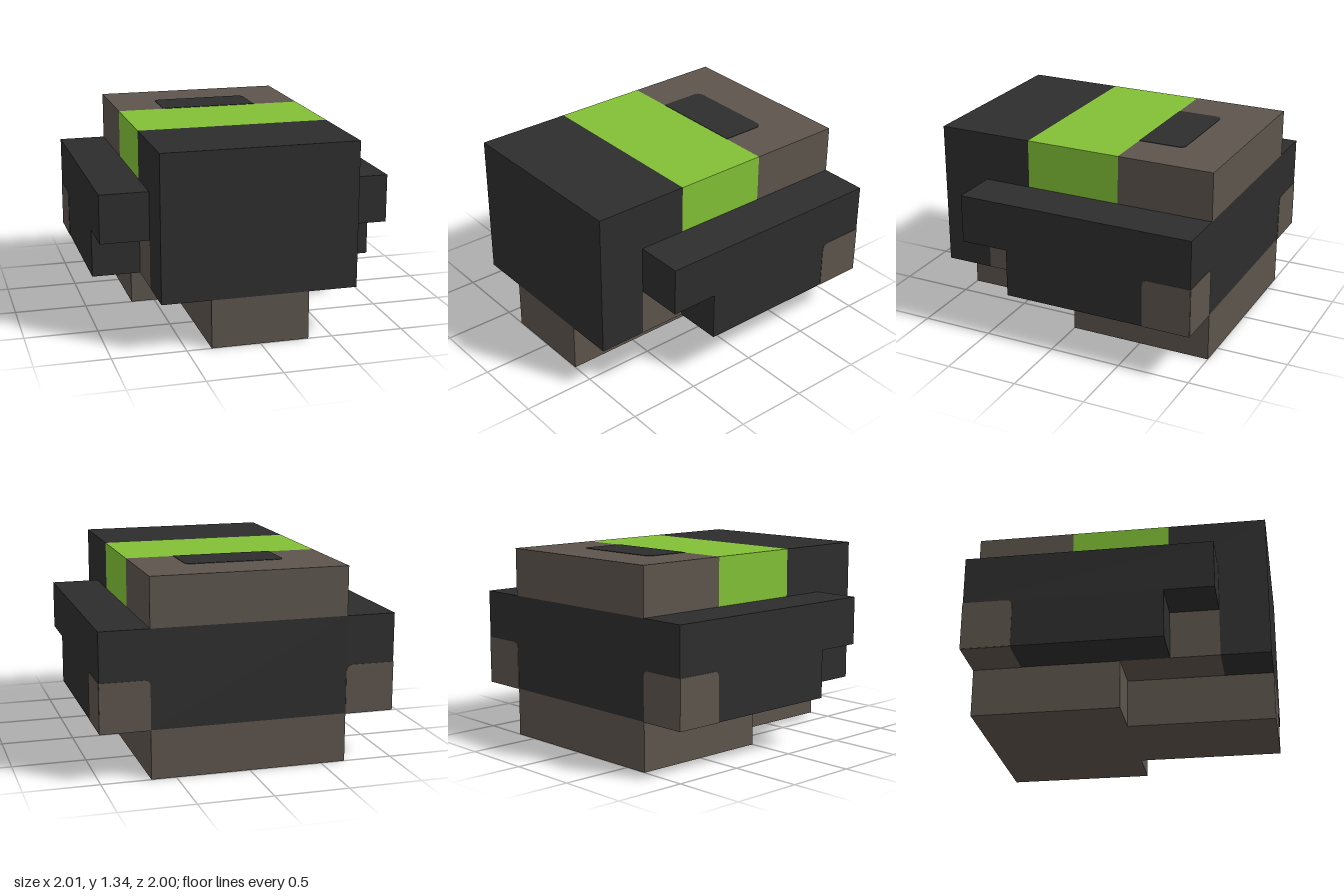
import * as THREE from 'three';

const U = 1 / 3; // module size of the blocky grid
const T = 0.003; // thickness of painted plates

function material(name, color) {
  const m = new THREE.MeshStandardMaterial({ color });
  m.name = name;
  return m;
}

// Flat plate: base on local y = 0, centred in x, rounded top corners
function plateGeometry(w, h, rLeft, rRight) {
  const s = new THREE.Shape();
  s.moveTo(-w / 2, 0);
  s.lineTo(w / 2, 0);
  s.lineTo(w / 2, h - rRight);
  if (rRight) s.quadraticCurveTo(w / 2, h, w / 2 - rRight, h);
  s.lineTo(-w / 2 + rLeft, h);
  if (rLeft) s.quadraticCurveTo(-w / 2, h, -w / 2, h - rLeft);
  s.closePath();
  return new THREE.ExtrudeGeometry(s, { depth: T, bevelEnabled: false, curveSegments: 6 });
}

export function createModel() {
  const model = new THREE.Group();
  model.name = 'blockyBody';
  const dark = material('charcoal', 0x2d2d2d);
  const taupe = material('taupe', 0x5c544c);
  const green = material('green', 0x82c035);

  // Box from min and max corners, in grid modules
  const block = (name, mat, x0, x1, y0, y1, z0, z1) => {
    const mesh = new THREE.Mesh(new THREE.BoxGeometry((x1 - x0) * U, (y1 - y0) * U, (z1 - z0) * U), mat);
    mesh.position.set((x0 + x1) / 2 * U, (y0 + y1) / 2 * U, (z0 + z1) / 2 * U);
    mesh.name = name;
    model.add(mesh);
  };
  const plate = (name, mat, geometry, pos, rx, ry) => {
    const mesh = new THREE.Mesh(geometry, mat);
    mesh.position.set(...pos);
    mesh.rotation.set(rx, ry, 0);
    mesh.name = name;
    model.add(mesh);
  };

  // Base: wide at the back, narrow at the front
  block('baseBack', taupe, -2, 2, 0, 1, -3, 0);
  block('baseFront', taupe, -1, 1, 0, 1, 0, 3);

  // Core with its dark front and back panels
  block('core', taupe, -2, 2, 1, 3, -2, 2);
  block('frontPanel', dark, -2, 2, 1, 3, 2, 3);
  block('backPanel', dark, -2, 2, 1, 3, -3, -2);

  // Top deck in three bands
  block('deckFront', dark, -2, 2, 3, 4, 1, 3);
  block('deckBand', green, -2, 2, 3, 4, -1, 1);
  block('deckBack', taupe, -2, 2, 3, 4, -3, -1);
  plate('deckPatch', dark, plateGeometry(0.68, 0.325, 0.05, 0.05), [0, 4 * U, -U], -Math.PI / 2, 0);

  // Stepped side blocks with taupe rear lower corners
  for (const s of [-1, 1]) {
    const x0 = s > 0 ? 2 : -3;
    const side = s > 0 ? 'left' : 'right';
    const r = 0.045;
    block(side + 'SideUpper', dark, x0, x0 + 1, 2, 3, -3, 2);
    block(side + 'SideLower', dark, x0, x0 + 1, 1, 2, -3, 1);
    plate(side + 'CornerBack', taupe, plateGeometry(U, U, s > 0 ? 0 : r, s > 0 ? r : 0),
      [s * 2.5 * U, U, -1], 0, Math.PI);
    plate(side + 'CornerSide', taupe, plateGeometry(U, U, s > 0 ? r : 0, s > 0 ? 0 : r),
      [s, U, -2.5 * U], 0, s * Math.PI / 2);
    plate(side + 'CornerUnderside', taupe, plateGeometry(U, U, 0, 0),
      [s * 2.5 * U, U, -1], Math.PI / 2, 0);
  }
  return model;
}
